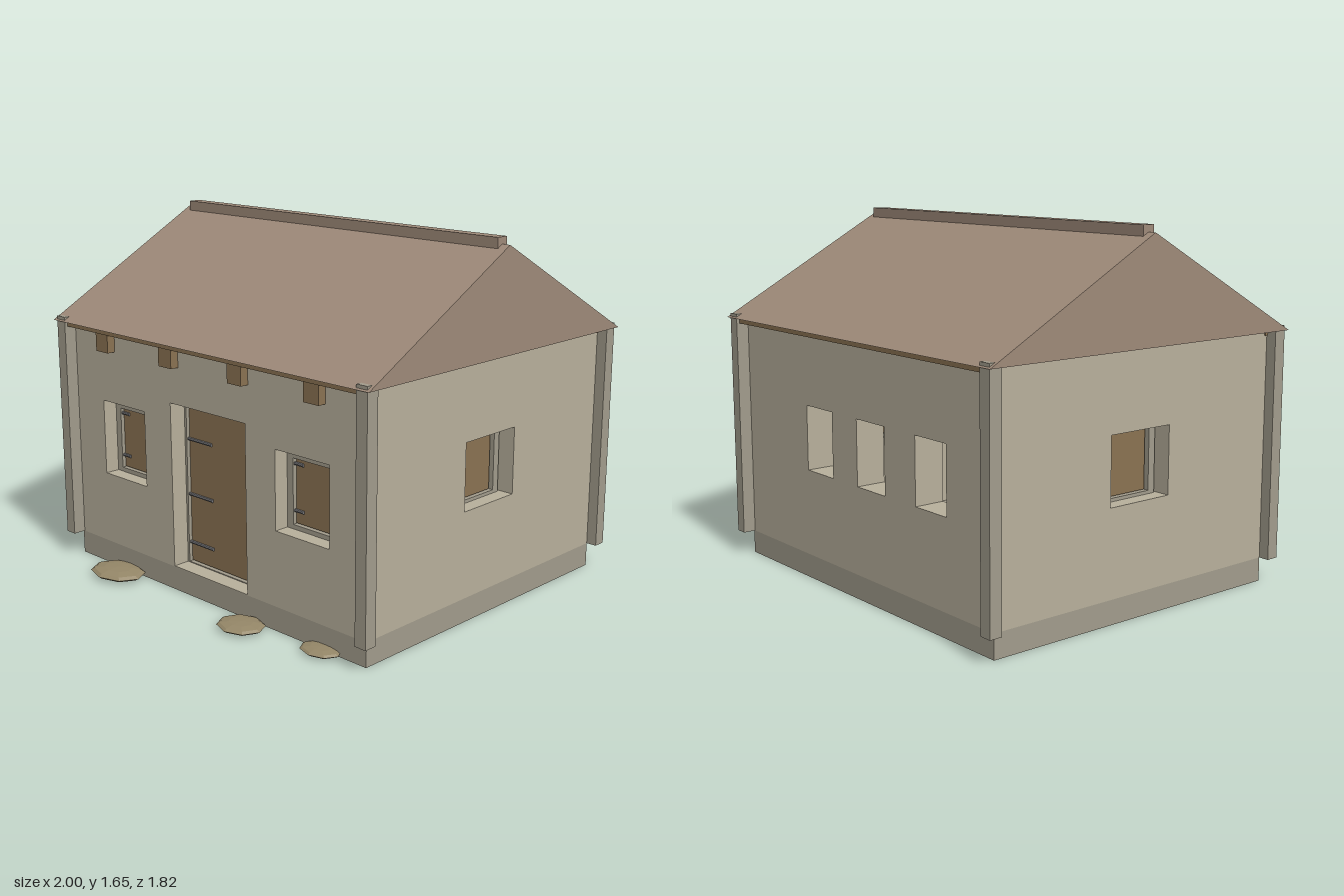
import * as THREE from 'three';

const mat = (color) => new THREE.MeshStandardMaterial({ color, flatShading: true });
const M = {
  wall: mat(0xb8b09c), trim: mat(0xa29c8c), roof: mat(0x9e8a79),
  wood: mat(0x8a7252), stone: mat(0x958768), iron: mat(0x77777a),
};
const ZC = -0.06;              // centre line of the house in z
const HX = 0.935, HZ = 0.78;   // half size of the wall block
const T = 0.14;                // wall thickness
const Y0 = 0.11, Y1 = 1.16;    // bottom and top of the walls

function add(parent, name, geometry, material, x = 0, y = 0, z = 0) {
  const mesh = new THREE.Mesh(geometry, material);
  mesh.name = name;
  mesh.position.set(x, y, z);
  parent.add(mesh);
  return mesh;
}

// Box given by its limits on each axis
function block(parent, name, material, [x0, x1], [y0, y1], [z0, z1]) {
  return add(parent, name, new THREE.BoxGeometry(x1 - x0, y1 - y0, z1 - z0), material,
    (x0 + x1) / 2, (y0 + y1) / 2, (z0 + z1) / 2);
}

// Rectangular plate with rectangular holes, each [x0, x1, y0, y1]
function plate([x0, x1, y0, y1], holes, depth) {
  const corners = ([a, b, c, d]) => [[a, c], [b, c], [b, d], [a, d]].map((p) => new THREE.Vector2(...p));
  const shape = new THREE.Shape(corners([x0, x1, y0, y1]));
  holes.forEach((h) => shape.holes.push(new THREE.Path(corners(h).reverse())));
  return new THREE.ExtrudeGeometry(shape, { depth, bevelEnabled: false });
}

// Strap hinge lying along x
function hinge(parent, x, y, z, length, r) {
  const g = new THREE.CylinderGeometry(r, r, length, 8).rotateZ(Math.PI / 2);
  add(parent, 'hinge', g, M.iron, x + length / 2, y, z);
}

// Frame with a wooden panel; its front lies at local z = 0, facing +z
function framedPanel(name, w, y0, y1, [side, bottom, top], gap, hinges, hingeLength) {
  const group = new THREE.Group();
  group.name = name;
  const h = w / 2;
  add(group, 'frame', plate([-h, h, y0, y1], [[-h + side, h - side, y0 + bottom, y1 - top]], 0.05), M.trim, 0, 0, -0.05);
  block(group, 'panel', M.wood, [-h + side + gap / 2, h - side - gap], [y0 + bottom + 0.004, y1 - top - 0.004], [-0.045, -0.015]);
  hinges.forEach((y) => hinge(group, -h + side, y, -0.012, hingeLength, 0.008));
  return group;
}

export function createModel() {
  const house = new THREE.Group();
  house.name = 'house';
  const front = ZC + HZ, back = ZC - HZ;

  // Plinth
  block(house, 'plinth', M.trim, [-HX, HX], [0, Y0], [back, front]);

  // Walls with door and window openings
  const frontHoles = [[-0.73, -0.43, 0.45, 0.805], [0.42, 0.73, 0.45, 0.805], [-0.245, 0.24, 0.113, 0.88]];
  const backHoles = [0.305, -0.1, -0.53].map((x) => [x - 0.105, x + 0.105, 0.51, 0.81]);
  add(house, 'frontWall', plate([-HX, HX, Y0, Y1], frontHoles, T), M.wall, 0, 0, front - T);
  add(house, 'backWall', plate([-HX, HX, Y0, Y1], backHoles, T), M.wall, 0, 0, back);
  const sideWall = plate([-(front - T), -(back + T), Y0, Y1], [[-0.11, 0.225, 0.505, 0.81]], T).rotateY(Math.PI / 2);
  add(house, 'leftWall', sideWall, M.wall, HX - T);
  add(house, 'rightWall', sideWall, M.wall, -HX);

  // Door
  const door = framedPanel('door', 0.485, 0.113, 0.88, [0.012, 0.004, 0.02], 0.006, [0.21, 0.44, 0.7], 0.155);
  door.position.set(-0.0025, 0, front - 0.08);
  house.add(door);

  // Front windows
  for (const [x, w] of [[-0.58, 0.3], [0.575, 0.31]]) {
    const win = framedPanel('frontWindow', w, 0.45, 0.785, [0.035, 0.02, 0.025], 0.008, [0.53, 0.735], 0.05);
    win.position.set(x, 0, front - 0.07);
    house.add(win);
  }

  // Side windows
  for (const s of [-1, 1]) {
    const win = framedPanel('sideWindow', 0.306, 0.505, 0.81, [0.035, 0.015, 0.015], 0.01, [], 0);
    win.position.set(s * (HX - 0.07), 0, -0.0575);
    win.rotation.y = s * Math.PI / 2;
    house.add(win);
  }

  // Corner posts and eaves beams
  for (const sz of [-1, 1]) {
    for (const sx of [-1, 1]) {
      add(house, 'cornerPost', new THREE.BoxGeometry(0.058, 1.07, 0.06), M.trim, sx * 0.956, 0.645, ZC + sz * 0.81);
    }
    add(house, 'eavesBeam', new THREE.BoxGeometry(1.88, 0.03, 0.06), M.wood, 0, 1.15, ZC + sz * 0.795);
  }

  // Rafter ends above the front
  for (let i = 0; i < 4; i++) {
    block(house, 'rafterEnd', M.wood, [-0.717 + i * 0.447, -0.632 + i * 0.447], [1.05, 1.16], [front - 0.04, front + 0.04]);
  }

  // Gable roof and ridge beam
  const gable = new THREE.Shape([[-0.85, 0], [0.85, 0], [0, 0.465]].map((p) => new THREE.Vector2(...p)));
  const roof = new THREE.ExtrudeGeometry(gable, { depth: 2, bevelEnabled: false }).rotateY(Math.PI / 2);
  add(house, 'roof', roof, M.roof, -1, Y1, ZC);
  block(house, 'ridgeBeam', M.roof, [-0.96, 0.96], [1.6, 1.655], [ZC - 0.03, ZC + 0.03]);

  // Flat stones before the front: x, z, radius x, radius z, height
  for (const [x, z, rx, rz, h] of [[-0.565, 0.8, 0.15, 0.11, 0.045], [0.295, 0.81, 0.116, 0.097, 0.036], [0.705, 0.745, 0.1, 0.073, 0.03]]) {
    const stone = new THREE.SphereGeometry(1, 8, 6).scale(rx, h / 2, rz);
    add(house, 'stone', stone, M.stone, x, h / 2, z);
  }

  return house;
}
